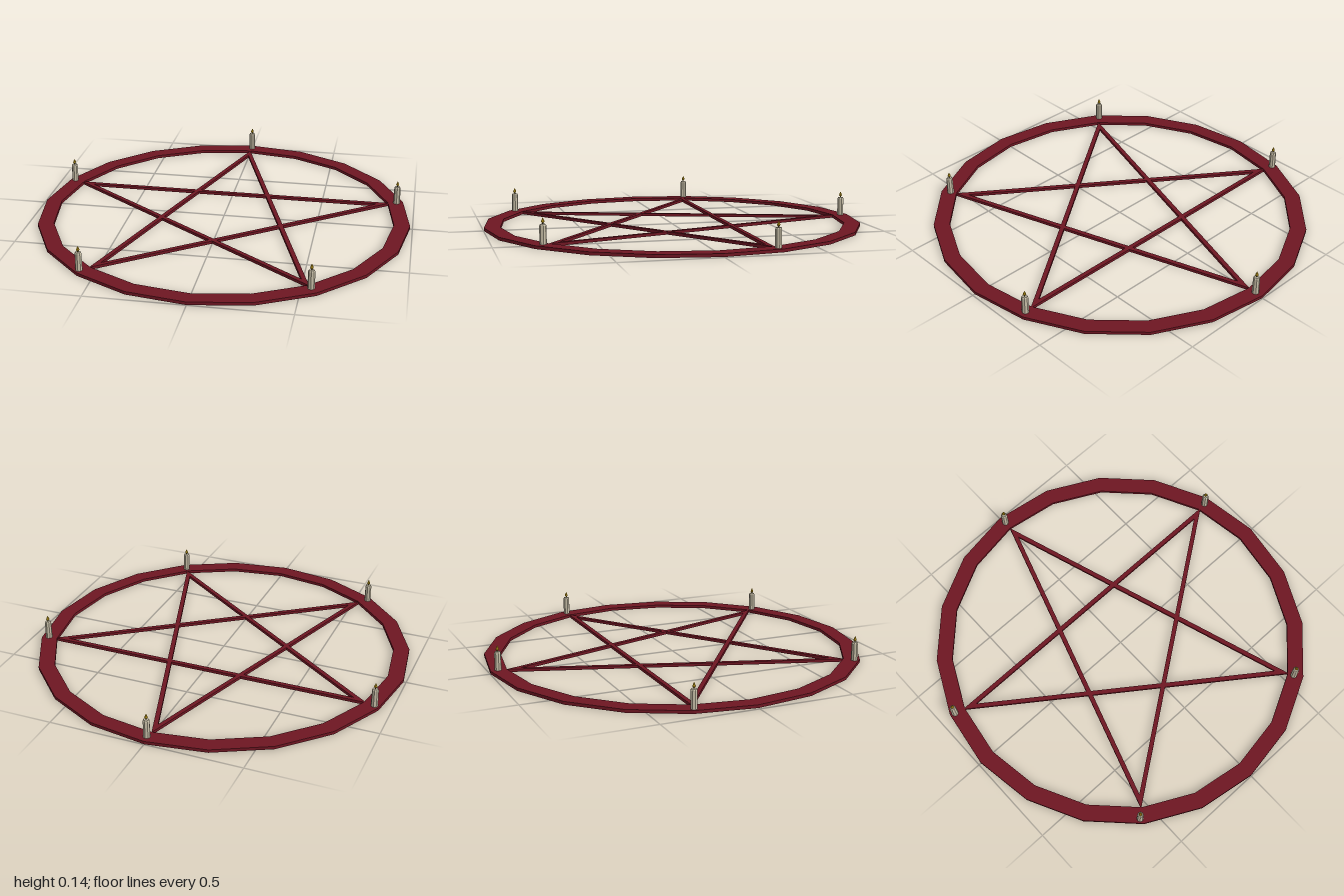
import * as THREE from 'three';

const RING_HEIGHT = 0.016;

const material = (color) => new THREE.MeshStandardMaterial({ color, flatShading: true });

// Corner points of a regular polygon
function polygon(radius, sides) {
  return Array.from({ length: sides }, (_, i) => {
    const a = (i / sides) * Math.PI * 2;
    return new THREE.Vector2(Math.cos(a) * radius, Math.sin(a) * radius);
  });
}

// Flat slab lying on the ground; shape +y points to the back
function slab(shape, height) {
  const geometry = new THREE.ExtrudeGeometry(shape, { depth: height, bevelEnabled: false });
  return geometry.rotateX(-Math.PI / 2);
}

function createCandle(wax, wick, fire) {
  const candle = new THREE.Group();
  candle.name = 'candle';
  const add = (name, geometry, mat, y) => {
    const mesh = new THREE.Mesh(geometry, mat);
    mesh.name = name;
    mesh.position.y = y;
    candle.add(mesh);
  };
  // Wax body with a slightly chamfered rim
  const profile = [[0, 0], [0.018, 0], [0.017, 0.09], [0.013, 0.097], [0, 0.097]]
    .map(([x, y]) => new THREE.Vector2(x, y));
  add('candleBody', new THREE.LatheGeometry(profile, 8), wax, 0);
  add('wick', new THREE.CylinderGeometry(0.003, 0.003, 0.012, 6), wick, 0.101);
  // Teardrop flame
  const flame = [[0, 0], [0.009, 0.01], [0.006, 0.018], [0, 0.031]]
    .map(([x, y]) => new THREE.Vector2(x, y));
  add('flame', new THREE.LatheGeometry(flame, 6), fire, 0.098);
  return candle;
}

export function createModel() {
  const model = new THREE.Group();
  model.name = 'candleCircle';
  const red = material(0x6e1622);

  // Twenty-sided outer ring
  const ringShape = new THREE.Shape(polygon(1, 20));
  ringShape.holes.push(new THREE.Path(polygon(0.915, 20)));
  const ring = new THREE.Mesh(slab(ringShape, RING_HEIGHT), red);
  ring.name = 'ring';
  ring.scale.set(0.987, 1, 0.998);
  model.add(ring);

  // Five crossing bars with mitred ends form the star
  const star = new THREE.Group();
  star.name = 'star';
  const sin = Math.sin(Math.PI * 0.4), cos = Math.cos(Math.PI * 0.4);
  const tip = 0.915, inner = 0.84;
  const barShape = new THREE.Shape([
    [-inner * sin, inner * cos], [inner * sin, inner * cos],
    [tip * sin, tip * cos], [-tip * sin, tip * cos],
  ].map(([x, y]) => new THREE.Vector2(x, y)));
  const barGeometry = slab(barShape, RING_HEIGHT - 0.001);
  for (let i = 0; i < 5; i++) {
    const bar = new THREE.Mesh(barGeometry, red);
    bar.name = 'starBar';
    bar.rotation.y = (i / 5) * Math.PI * 2;
    star.add(bar);
  }
  model.add(star);

  // A candle on the ring beside each star point
  const wax = material(0xc6bda6), wick = material(0x3a3428), fire = material(0xc9a21c);
  const places = [[0.005, -0.957], [0.905, -0.287], [0.55, 0.765], [-0.577, 0.775], [-0.914, -0.295]];
  for (const [x, z] of places) {
    const candle = createCandle(wax, wick, fire);
    candle.position.set(x, RING_HEIGHT, z);
    model.add(candle);
  }
  return model;
}
